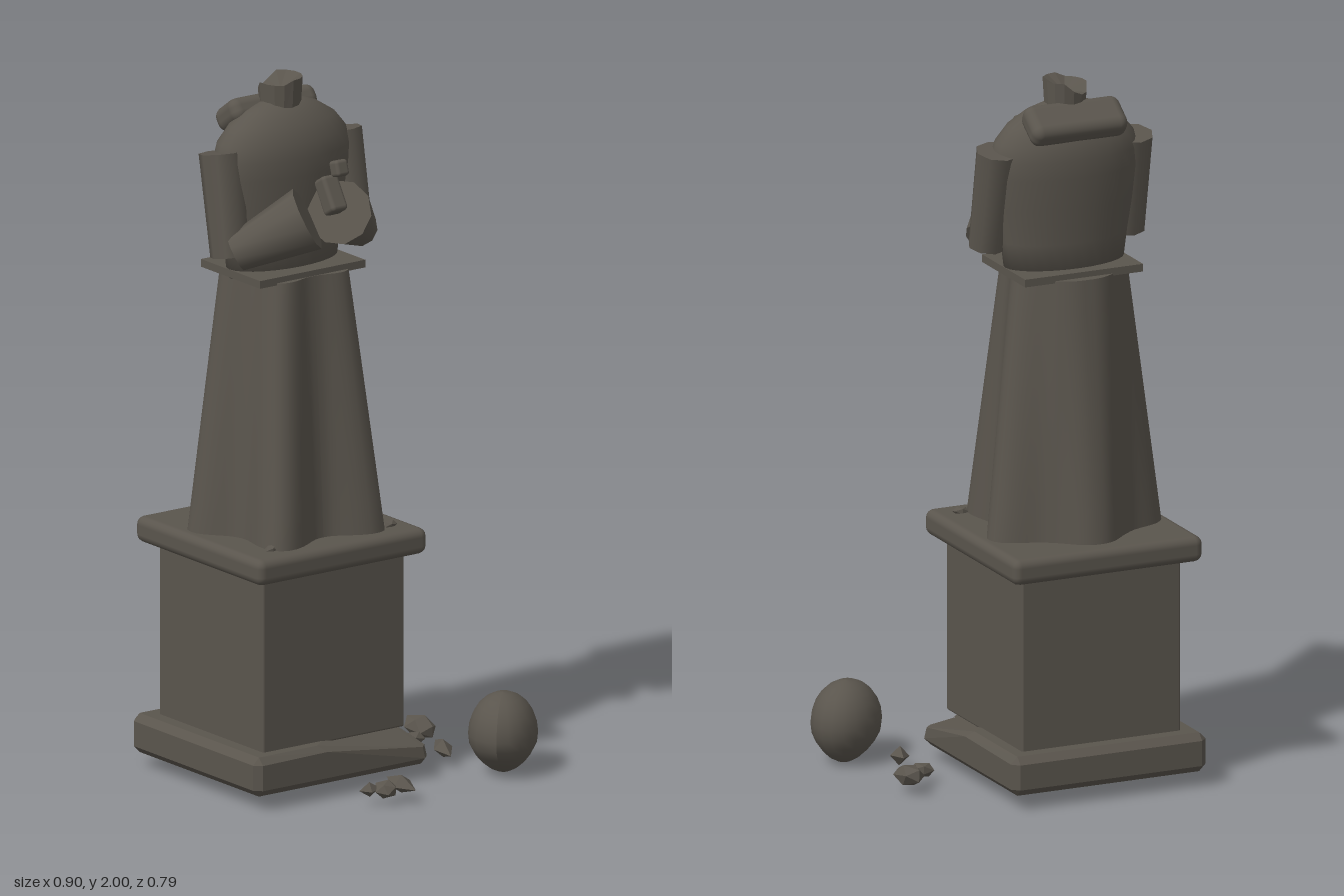
import * as THREE from 'three';
import { RoundedBoxGeometry } from 'three/addons/geometries/RoundedBoxGeometry.js';
import { ConvexGeometry } from 'three/addons/geometries/ConvexGeometry.js';

const CX = -0.15, CZ = -0.1; // statue axis

export function createModel() {
  const model = new THREE.Group();
  const stone = new THREE.MeshStandardMaterial({ color: 0x5a554d });
  stone.name = 'weathered stone';

  const add = (name, geometry, x = 0, y = 0, z = 0, parent = model) => {
    const mesh = new THREE.Mesh(geometry, stone);
    mesh.name = name;
    mesh.position.set(x, y, z);
    parent.add(mesh);
    return mesh;
  };

  // Tapered cylinder between two points
  const limb = (name, a, b, ra, rb, sides) => {
    const from = new THREE.Vector3(...a), to = new THREE.Vector3(...b);
    const dir = to.clone().sub(from);
    const mesh = add(name, new THREE.CylinderGeometry(rb, ra, dir.length(), sides));
    mesh.position.copy(from).add(to).multiplyScalar(0.5);
    mesh.quaternion.setFromUnitVectors(new THREE.Vector3(0, 1, 0), dir.normalize());
    return mesh;
  };

  // Chamfered base slab with its front left corner broken off
  const c = 0.02, pts = [];
  for (const x of [-0.45, 0.145]) for (const y of [0.045, 0.157]) for (const z of [-0.393, 0.2]) {
    if (x > 0 && y > 0.1 && z > 0) continue;
    const ix = x - Math.sign(x) * c, iy = y > 0.1 ? y - c : y + c, iz = z - Math.sign(z) * c;
    pts.push([x, iy, iz], [ix, y, iz], [ix, iy, z]);
  }
  pts.push([-0.23, 0.157, 0.18], [-0.21, 0.14, 0.2], [0.125, 0.157, -0.1], [0.145, 0.14, -0.08],
    [0.12, 0.097, 0.195], [0.14, 0.097, 0.175]);
  add('baseSlab', new ConvexGeometry(pts.map((p) => new THREE.Vector3(...p))));

  // Pedestal block and cap
  add('pedestalBlock', new RoundedBoxGeometry(0.484, 0.5, 0.484, 2, 0.006), CX, 0.4, -0.093);
  add('pedestalCap', new RoundedBoxGeometry(0.58, 0.074, 0.585, 2, 0.024), CX, 0.685, -0.095);

  // Gown: five folds that flare toward the hem
  const gown = new THREE.CylinderGeometry(1, 1, 0.74, 80, 8);
  const pos = gown.attributes.position;
  for (let i = 0; i < pos.count; i++) {
    const x = pos.getX(i), y = pos.getY(i), z = pos.getZ(i);
    const angle = Math.atan2(z, x), t = y / 0.74 + 0.5;
    const ridge = 0.266 + 0.033 * Math.sin(angle) + 0.014 * Math.abs(Math.cos(angle));
    const fold = Math.pow(0.5 + 0.5 * Math.cos(5 * (angle + Math.PI / 2)), 1.3);
    const valley = 0.2 + 0.035 * t;
    const r = (valley + (ridge - valley) * fold) * (1 - 0.35 * t);
    pos.setXYZ(i, x * r, y, z * r);
  }
  gown.computeVertexNormals();
  add('gown', gown, CX, 1.09, CZ);

  // Belt plate and hanging sash
  add('belt', new THREE.BoxGeometry(0.36, 0.022, 0.275), CX, 1.465, -0.087);
  const sash = add('sash', new RoundedBoxGeometry(0.034, 0.29, 0.024, 2, 0.008), -0.087, 1.313, 0.06);
  sash.rotation.x = -0.07;

  // Torso: flattened lathe with rounded shoulders
  const profile = [[0, 1.45], [0.175, 1.45], [0.188, 1.55], [0.205, 1.65], [0.218, 1.74], [0.219, 1.79],
    [0.207, 1.835], [0.17, 1.88], [0.115, 1.915], [0.06, 1.935], [0, 1.94]];
  const torso = add('torso', new THREE.LatheGeometry(profile.map((p) => new THREE.Vector2(...p)), 28), CX, 0, -0.094);
  torso.scale.z = 0.52;

  // Broken neck: jagged rim falling to a sunken centre
  const neck = new THREE.CylinderGeometry(0.062, 0.056, 0.1, 14).toNonIndexed();
  const np = neck.attributes.position;
  for (let i = 0; i < np.count; i++) {
    if (np.getY(i) < 0) continue;
    const x = np.getX(i), z = np.getZ(i);
    const k = Math.round((Math.atan2(z, x) + Math.PI) / (Math.PI / 7)) % 14;
    np.setY(i, Math.hypot(x, z) < 0.01 ? 0.012 : k % 2 ? 0.05 : 0.026 - 0.012 * (k % 3 - 1));
  }
  neck.computeVertexNormals();
  add('brokenNeck', neck, CX, 1.95, CZ);

  // Rolled hood behind the neck
  const hood = add('hood', new RoundedBoxGeometry(0.29, 0.07, 0.115, 3, 0.028), CX, 1.893, -0.164);
  hood.rotation.x = -0.62;

  // Arms with wide sleeves meeting in front of the chest
  for (const s of [-1, 1]) {
    const side = s < 0 ? 'right' : 'left';
    limb(side + 'UpperArm', [CX + s * 0.212, 1.53, -0.048], [CX + s * 0.204, 1.815, -0.1], 0.054, 0.062, 8);
    limb(side + 'Sleeve', [CX + s * 0.212, 1.545, -0.02], [CX + s * 0.055, 1.645, 0.1], 0.052, 0.092, 10);
  }

  // Broken remains of the held object
  const grip = add('heldGrip', new RoundedBoxGeometry(0.055, 0.105, 0.055, 2, 0.012), -0.152, 1.713, 0.138);
  grip.rotation.x = -0.55;
  const tip = add('heldTip', new RoundedBoxGeometry(0.042, 0.046, 0.04, 2, 0.01), -0.146, 1.796, 0.168);
  tip.rotation.x = -0.3;

  // Fallen head: egg shape, narrower below
  const head = new THREE.SphereGeometry(1, 18, 12);
  const hp = head.attributes.position;
  for (let i = 0; i < hp.count; i++) {
    const y = hp.getY(i), k = y < -0.3 ? 1 + 0.25 * (y + 0.3) : 1;
    hp.setXYZ(i, hp.getX(i) * 0.122 * k + (y < -0.3 ? 0.02 * (-y - 0.3) : 0), y * 0.115, hp.getZ(i) * 0.096 * k);
  }
  head.computeVertexNormals();
  add('fallenHead', head, 0.34, 0.12, 0.27).rotation.y = Math.PI / 4;

  // Rubble: x, y, z, width, height, depth, turn
  const rubble = [
    [0.322, 0.055, -0.092, 0.07, 0.06, 0.105, 0.2], [0.252, 0.045, -0.03, 0.07, 0.04, 0.045, -0.2],
    [0.256, 0.05, 0.105, 0.055, 0.055, 0.118, -0.25], [-0.058, 0.055, 0.337, 0.065, 0.055, 0.115, 0.15],
    [-0.11, 0.048, 0.335, 0.065, 0.045, 0.065, 0.6], [-0.152, 0.05, 0.317, 0.06, 0.045, 0.045, -0.3],
    [-0.34, 0.725, 0.118, 0.04, 0.026, 0.028, -0.3], [0.064, 0.725, 0.115, 0.048, 0.026, 0.028, 0],
  ];
  rubble.forEach(([x, y, z, w, h, d, turn], i) => {
    const shape = i % 3 === 2 || i === 3 ? new THREE.OctahedronGeometry(0.5) : new THREE.IcosahedronGeometry(0.54);
    const rock = add('rubble' + (i + 1), shape, x, y, z);
    rock.scale.set(w, h, d);
    rock.rotation.set(0.15, turn, 0.12);
  });

  return model;
}
